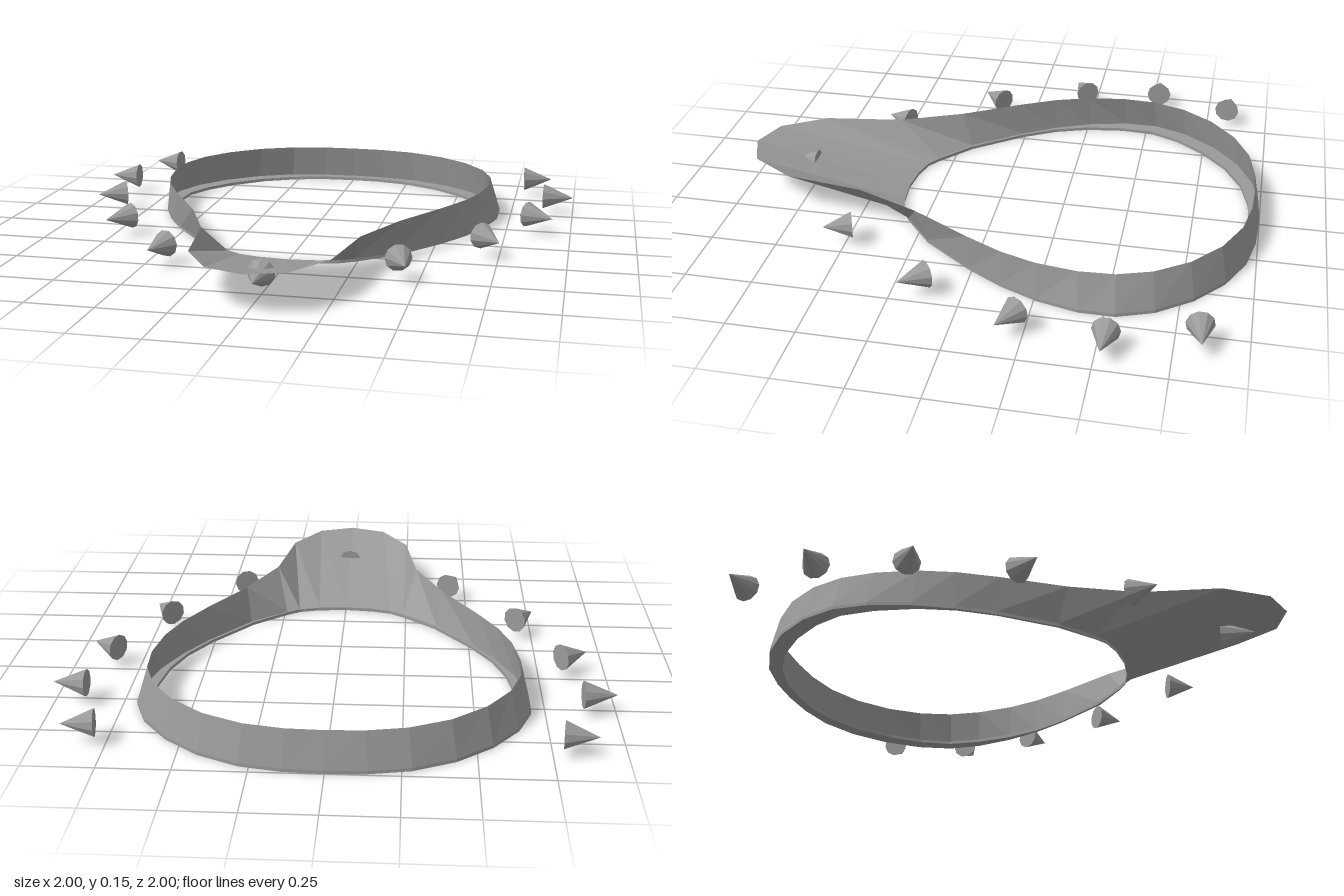
import * as THREE from 'three';

// Half of the band, back to front: top edge x,z / bottom edge x,z / inner lip x,z
const ROWS = [
  [0, -0.972, 0, -1.0, 0, -0.96],
  [0.13, -0.967, 0.14, -0.993, 0.125, -0.953],
  [0.27, -0.94, 0.285, -0.965, 0.26, -0.92],
  [0.41, -0.875, 0.43, -0.897, 0.395, -0.85],
  [0.53, -0.775, 0.555, -0.795, 0.51, -0.75],
  [0.615, -0.655, 0.65, -0.67, 0.595, -0.64],
  [0.658, -0.53, 0.7, -0.54, 0.645, -0.53],
  [0.665, -0.4, 0.7, -0.41, 0.652, -0.4],
  [0.643, -0.25, 0.662, -0.26, 0.63, -0.25],
  [0.598, -0.12, 0.6, -0.12, 0.584, -0.12],
  [0.525, 0.02, 0.52, 0.01, 0.508, 0.01],
  [0.395, 0.24, 0.375, 0.2, 0.365, 0.195],
  [0.29, 0.48, 0.24, 0.31, 0.235, 0.307],
  [0.245, 0.78, 0.19, 0.34, 0.188, 0.339],
  [0.14, 0.945, 0.11, 0.362, 0.11, 0.36],
  [0, 0.995, 0, 0.372, 0, 0.37],
];
const TOP = 0.15, LOW = 0.016, BASE = 0.004;

// Closed loop of [x, z] pairs, mirrored across x
function loop(col) {
  const half = ROWS.map((r) => [r[col], r[col + 1]]);
  const mirrored = half.slice(1, -1).reverse().map(([x, z]) => [-x, z]);
  return [...half, ...mirrored];
}

// Ribbon of quads between two loops at given heights
function ribbon(upper, yu, lower, yl) {
  const p = [];
  const n = upper.length;
  for (let i = 0; i < n; i++) {
    const j = (i + 1) % n;
    const a = [upper[i][0], yu, upper[i][1]], b = [upper[j][0], yu, upper[j][1]];
    const c = [lower[j][0], yl, lower[j][1]], d = [lower[i][0], yl, lower[i][1]];
    p.push(...a, ...b, ...c, ...a, ...c, ...d);
  }
  const g = new THREE.BufferGeometry();
  g.setAttribute('position', new THREE.Float32BufferAttribute(p, 3));
  g.computeVertexNormals();
  return g;
}

export function createModel() {
  const model = new THREE.Group();
  model.name = 'spikedCollar';
  const grey = new THREE.MeshStandardMaterial({ color: 0x9a9a9a });
  grey.name = 'grey';
  grey.side = THREE.DoubleSide;
  grey.flatShading = true;

  const add = (name, geometry) => {
    const mesh = new THREE.Mesh(geometry, grey);
    mesh.name = name;
    model.add(mesh);
    return mesh;
  };

  // Sloping band that flares into the front tongue
  const top = loop(0), bottom = loop(2), inner = loop(4);
  add('band', ribbon(top, TOP, bottom, LOW));

  // Thin lip along the bottom edge, turned inward
  add('lipEdge', ribbon(bottom, LOW, bottom, BASE));
  add('lip', ribbon(bottom, BASE, inner, BASE));
  add('lipInnerEdge', ribbon(inner, BASE, inner, LOW));
  add('lipTop', ribbon(inner, LOW, bottom, LOW));

  // Spikes floating around the band: base x,z and tip x,z
  const cone = (bx, bz, tx, tz, name) => {
    const base = new THREE.Vector3(bx, 0.08, bz);
    const axis = new THREE.Vector3(tx, 0.08, tz).sub(base);
    const g = new THREE.ConeGeometry(0.05, axis.length(), 10);
    const spike = add(name, g);
    spike.position.copy(base).addScaledVector(axis, 0.5);
    spike.quaternion.setFromUnitVectors(new THREE.Vector3(0, 1, 0), axis.normalize());
  };
  const SIDE = [
    [0.785, -0.83, 0.9, -0.843],
    [0.88, -0.53, 1.0, -0.525],
    [0.83, -0.222, 0.93, -0.165],
    [0.682, 0.125, 0.755, 0.215],
    [0.425, 0.475, 0.463, 0.575],
  ];
  SIDE.forEach(([bx, bz, tx, tz], i) => {
    cone(bx, bz, tx, tz, `leftSpike${i + 1}`);
    cone(-bx, bz, -tx, tz, `rightSpike${i + 1}`);
  });
  cone(0, 0.745, 0, 0.872, 'frontSpike');

  return model;
}
